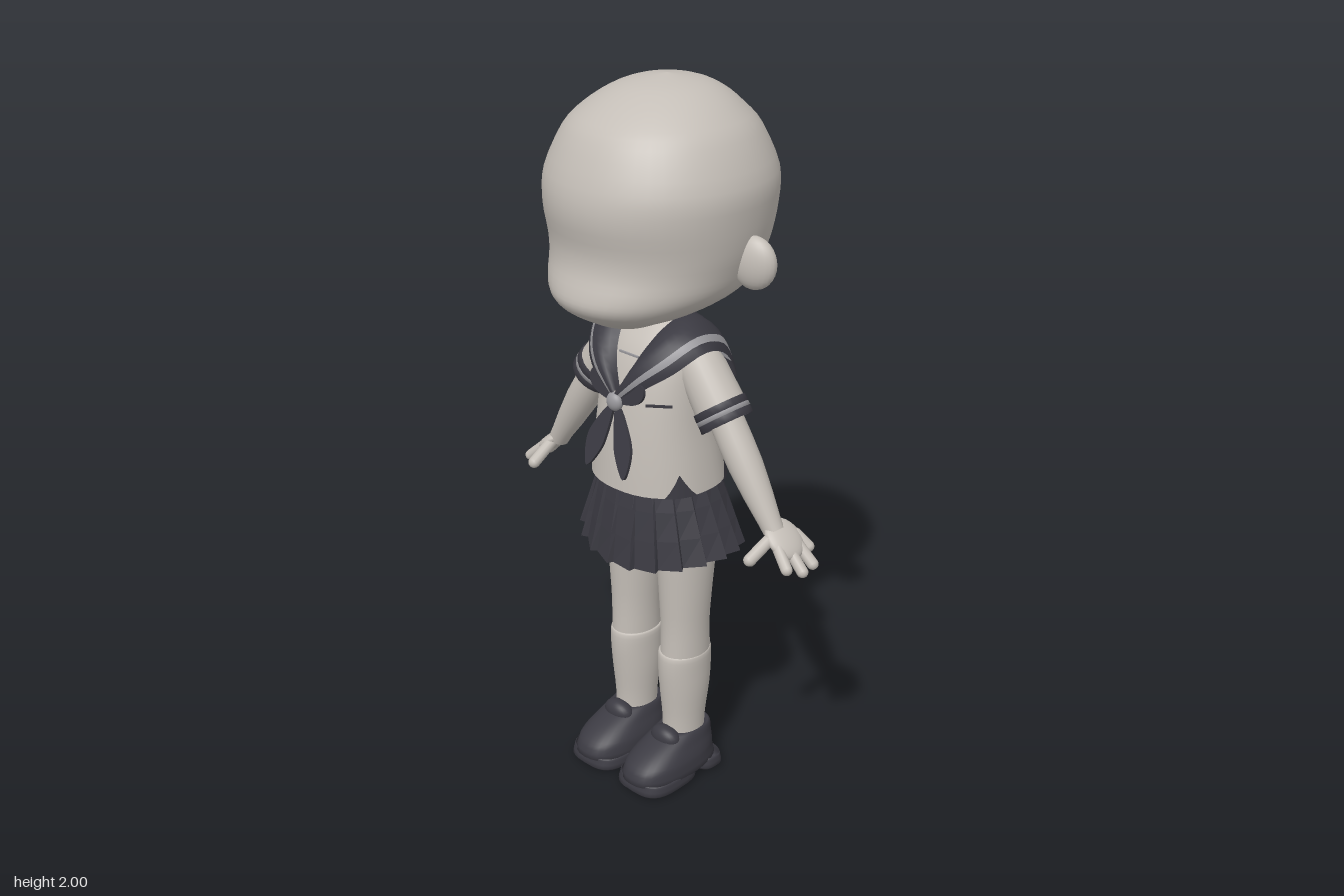
import * as THREE from 'three';

const flat = (name, color, side = THREE.FrontSide) => {
  const m = new THREE.MeshStandardMaterial({ color, side });
  m.name = name;
  return m;
};

export function createModel() {
  const root = new THREE.Group();
  root.name = 'figure';
  const pale = flat('pale skin and cloth', 0xc4beb7, THREE.DoubleSide);
  const dark = flat('dark cloth', 0x3b3a42, THREE.DoubleSide);
  const trim = flat('grey trim', 0x98979b, THREE.DoubleSide);

  const add = (name, geo, mat) => {
    const m = new THREE.Mesh(geo, mat);
    m.name = name;
    root.add(m);
    return m;
  };
  const V = (x, y, z) => new THREE.Vector3(x, y, z);

  // Grid surface; u runs around (closed) or along, v runs upwards
  const grid = (nu, nv, fn, closed = true) => {
    const pos = [], idx = [], cols = closed ? nu : nu + 1;
    for (let j = 0; j <= nv; j++) for (let i = 0; i < cols; i++) pos.push(...fn(i / nu, j / nv));
    for (let j = 0; j < nv; j++) for (let i = 0; i < nu; i++) {
      const a = j * cols + i, b = j * cols + (i + 1) % cols;
      idx.push(a, b, b + cols, a, b + cols, a + cols);
    }
    const g = new THREE.BufferGeometry();
    g.setAttribute('position', new THREE.Float32BufferAttribute(pos, 3));
    g.setIndex(idx);
    g.computeVertexNormals();
    return g;
  };

  // Smooth interpolation through rows of numbers
  const sample = (rows, t) => {
    const f = t * (rows.length - 1), i = Math.min(Math.floor(f), rows.length - 2), k = f - i;
    const r = (n) => rows[Math.max(0, Math.min(rows.length - 1, n))];
    return rows[0].map((_, c) => {
      const a = r(i - 1)[c], b = r(i)[c], d = r(i + 1)[c], e = r(i + 2)[c];
      return b + 0.5 * k * (d - a + k * (2 * a - 5 * b + 4 * d - e + k * (3 * (b - d) + e - a)));
    });
  };
  // Point on a stack of cross-sections [y, half width, front z, back z]
  const ringPoint = (rows, u, t, p = 2, cx = 0, grow = 0) => {
    const [y, w, zf, zb] = sample(rows, t), a = u * Math.PI * 2;
    const s = Math.sin(a), c = Math.cos(a);
    const e = (v) => Math.sign(v) * Math.abs(v) ** (2 / p);
    return [cx + (Math.max(w, 0) + grow) * e(s), y, (zf + zb) / 2 + ((zf - zb) / 2 + grow) * e(c)];
  };
  const loft = (name, rows, mat, p = 2, cx = 0, nu = 40) =>
    add(name, grid(nu, (rows.length - 1) * 3, (u, t) => ringPoint(rows, u, t, p, cx)), mat);

  // Round limb between two points, radii as [fraction, radius]
  const limb = (name, from, to, radii, mat) => {
    const d = to.clone().sub(from), len = d.length();
    const m = add(name, new THREE.LatheGeometry(radii.map(([t, r]) => new THREE.Vector2(r, t * len)), 24), mat);
    m.position.copy(from);
    m.quaternion.setFromUnitVectors(V(0, 1, 0), d.normalize());
    return m;
  };
  const capsule = (name, from, to, r, mat) => {
    const d = to.clone().sub(from);
    const m = add(name, new THREE.CapsuleGeometry(r, d.length(), 5, 12), mat);
    m.position.copy(from).add(to).multiplyScalar(0.5);
    m.quaternion.setFromUnitVectors(V(0, 1, 0), d.normalize());
  };
  const ball = (name, c, s, mat) => {
    const m = add(name, new THREE.SphereGeometry(1, 24, 16), mat);
    m.position.copy(c);
    m.scale.set(...s);
    return m;
  };

  // Head and neck
  loft('head', [
    [1.385, 0, 0.12, 0.12], [1.39, 0.07, 0.19, 0.06], [1.41, 0.12, 0.235, -0.02], [1.44, 0.185, 0.285, -0.1],
    [1.47, 0.228, 0.305, -0.2], [1.505, 0.255, 0.3, -0.245], [1.555, 0.272, 0.283, -0.268],
    [1.61, 0.286, 0.28, -0.287], [1.69, 0.296, 0.294, -0.306], [1.77, 0.295, 0.285, -0.306],
    [1.87, 0.25, 0.24, -0.265], [1.92, 0.205, 0.19, -0.222], [1.96, 0.15, 0.125, -0.175],
    [1.985, 0.09, 0.06, -0.12], [2, 0, -0.03, -0.03]], pale, 2.05, 0, 48);
  limb('neck', V(0, 1.3, -0.01), V(0, 1.48, -0.01), [[0, 0.055], [0.4, 0.05], [1, 0.05]], pale);

  // Shirt
  const shirt = [[0.92, 0.185, 0.17, -0.165], [1, 0.175, 0.165, -0.15], [1.1, 0.162, 0.155, -0.13],
    [1.2, 0.155, 0.138, -0.117], [1.28, 0.148, 0.113, -0.108], [1.33, 0.125, 0.082, -0.093], [1.37, 0.06, 0.04, -0.06]];
  loft('shirt', shirt, pale, 2.2);

  // Pleated skirt
  const pleats = 20;
  const skirt = grid(pleats * 2, 3, (u, t) => {
    const k = Math.round(u * pleats * 2), a = ((k >> 1) + (k % 2 ? 0.9 : 0)) / pleats * Math.PI * 2;
    const q = 1 - t, r = k % 2 ? 1 : 1 - 0.07 * q - 0.01;
    const s = Math.sin(a), c = Math.cos(a);
    const hem = 0.7 + 0.035 * s * s;
    return [(0.165 + 0.087 * q) * r * s, hem + (0.95 - hem) * t, -0.01 * q + (0.148 + 0.057 * q) * r * c];
  }).toNonIndexed();
  skirt.computeVertexNormals();
  add('skirt', skirt, dark);
  ball('hips', V(0, 0.86, 0), [0.15, 0.1, 0.11], pale);

  // Sailor collar: inner and outer edge from the knot over the shoulder to the back
  const edge = [
    [0, 1.195, 0.145, 0.008, 1.16, 0.155], [0.035, 1.28, 0.122, 0.09, 1.225, 0.15],
    [0.062, 1.35, 0.07, 0.155, 1.275, 0.108], [0.07, 1.38, 0.01, 0.198, 1.325, 0.03],
    [0.07, 1.385, -0.03, 0.178, 1.285, -0.07], [0.06, 1.385, -0.055, 0.152, 1.195, -0.14],
    [0.03, 1.385, -0.06, 0.08, 1.2, -0.147], [0, 1.385, -0.06, 0, 1.2, -0.147]];
  const collar = (name, v0, v1, mat, s) => add(name, grid(28, 4, (u, t) => {
    const e = sample(edge, u), v = v0 + (v1 - v0) * t, b = 0.08 * v * (1 - v);
    const p = [0, 1, 2].map((c) => e[c] + (e[c + 3] - e[c]) * v);
    return [s * Math.max(0, p[0] + b * 0.3 * Math.min(1, p[0] * 10)), p[1] + b, p[2] + b * Math.sign(p[2]) * Math.min(1, Math.abs(p[2]) * 15)];
  }, false), mat);

  // Leaf-shaped piece of the neckerchief
  const leaf = (name, s, pts, z, tilt) => {
    const sh = new THREE.Shape();
    sh.moveTo(0, 0);
    sh.splineThru(pts.map(([x, y]) => new THREE.Vector2(x * s, y)));
    const m = add(name, new THREE.ExtrudeGeometry(sh, { depth: 0.009, bevelEnabled: false }), dark);
    m.position.set(0, 1.175, z);
    m.rotation.x = tilt;
  };
  ball('neckerchiefKnot', V(0, 1.172, 0.165), [0.026, 0.026, 0.018], trim);
  add('neckOpeningLine', new THREE.BoxGeometry(0.07, 0.005, 0.005), trim).position.set(0, 1.29, 0.112);
  const pocket = add('pocketLine', new THREE.BoxGeometry(0.07, 0.006, 0.006), dark);
  pocket.position.set(0.115, 1.178, 0.118);
  pocket.rotation.y = 0.65;

  for (const s of [1, -1]) {
    const side = s > 0 ? 'left' : 'right';
    collar(side + 'Collar', 0, 0.7, dark, s);
    collar(side + 'CollarStripe', 0.7, 0.84, trim, s);
    collar(side + 'CollarEdge', 0.84, 1, dark, s);

    leaf(side + 'BowLoop', s, [[0.04, 0.045], [0.085, 0.065], [0.098, 0.035], [0.07, 0.005], [0, -0.01]], 0.155, -0.1);
    leaf(side + 'BowTail', s, [[0.04, -0.045], [0.08, -0.12], [0.07, -0.2], [0.03, -0.15], [0.012, -0.09], [0, 0]], 0.155, -0.22);

    // Skirt pleats showing through the side of the shirt hem
    for (const a of [62, 127]) {
      const at = (deg, t) => ringPoint(shirt, s * deg / 360, t, 2.2, 0, 0.004);
      const tri = grid(6, 3, (u, t) => at(a + (u - 0.5) * 32 * (1 - t), t * 0.14), false);
      add(side + 'HemPleat', tri, dark);
    }

    // Ear
    const ear = ball(side + 'Ear', V(s * 0.292, 1.573, -0.036), [0.064, 0.07, 0.034], pale);
    ear.rotation.y = s * 0.2;

    // Sleeve with banded cuff
    const a = V(s * 0.125, 1.295, -0.005), b = V(s * 0.243, 1.132, -0.005);
    limb(side + 'Sleeve', a, b, [[-0.2, 0], [-0.15, 0.03], [0, 0.056], [0.25, 0.065], [0.8, 0.069], [0.97, 0.07], [0.97, 0]], pale);
    [[0.74, 0.84, dark], [0.84, 0.9, trim], [0.9, 1, dark]].forEach(([p, q, mat], i) =>
      limb(side + ['CuffTop', 'CuffStripe', 'CuffEdge'][i], a, b, [[p, 0.068], [p, 0.073], [q, 0.074], [q, 0.066]], mat));

    // Arm
    limb(side + 'Arm', V(s * 0.225, 1.16, -0.005), V(s * 0.41, 0.878, -0.005),
      [[0, 0.046], [0.25, 0.047], [0.45, 0.046], [0.7, 0.039], [0.9, 0.031], [1, 0.028]], pale);

    // Hand: x along the hand, z across it
    const c = Math.cos(0.7), n = Math.sin(0.7);
    const H = (x, y, z) => V(s * (0.395 + x * c + y * n), 0.895 - x * n + y * c, z - 0.005);
    ball(side + 'Palm', H(0.053, 0, -0.012), [0.062, 0.022, 0.056], pale).rotation.z = -s * 0.7;
    [[0.1, -0.072], [0.146, -0.048], [0.152, -0.002], [0.128, 0.04]].forEach(([x, z]) =>
      capsule(side + 'Finger', H(0.055, 0, z * 0.7 - 0.006), H(x, -0.004, z), 0.0155, pale));
    capsule(side + 'Thumb', H(0.035, -0.004, 0.02), H(0.055, -0.038, 0.095), 0.017, pale);

    // Leg and sock
    loft(side + 'Leg', [[0.38, 0.062, 0.072, -0.085], [0.48, 0.063, 0.07, -0.08], [0.6, 0.07, 0.076, -0.088],
      [0.72, 0.075, 0.082, -0.1], [0.9, 0.075, 0.08, -0.1]], pale, 2, s * 0.097, 28);
    loft(side + 'Sock', [[0.08, 0.054, 0.062, -0.068], [0.17, 0.056, 0.062, -0.07], [0.27, 0.064, 0.072, -0.085],
      [0.34, 0.066, 0.078, -0.09], [0.388, 0.066, 0.077, -0.089], [0.392, 0.058, 0.066, -0.08]], pale, 2, s * 0.095, 28);

    // Loafer
    const x = s * 0.095;
    loft(side + 'Shoe', [[0.02, 0, 0.05, 0.05], [0.021, 0.082, 0.2, -0.088], [0.06, 0.087, 0.205, -0.09],
      [0.085, 0.081, 0.18, -0.09], [0.108, 0.071, 0.14, -0.089], [0.13, 0.063, 0.088, -0.087],
      [0.14, 0.056, 0.06, -0.078], [0.13, 0.045, 0.05, -0.06]], dark, 2.4, x, 32);
    const sole = (name, zf, zb) => loft(name, [[0, 0, (zf + zb) / 2, (zf + zb) / 2], [0, 0.084, zf, zb],
      [0.03, 0.089, zf + 0.002, zb], [0.038, 0.085, zf, zb]], dark, 3, x, 32);
    sole(side + 'FrontSole', 0.203, 0.008);
    sole(side + 'Heel', -0.002, -0.091);
    ball(side + 'ShoeTongue', V(x, 0.122, 0.07), [0.05, 0.038, 0.032], dark).rotation.x = 0.3;
    const strap = add(side + 'ShoeStrap', new THREE.TorusGeometry(0.074, 0.008, 6, 20, Math.PI), dark);
    strap.position.set(x, 0.045, 0.115);
    strap.rotation.x = -0.3;
  }
  return root;
}
